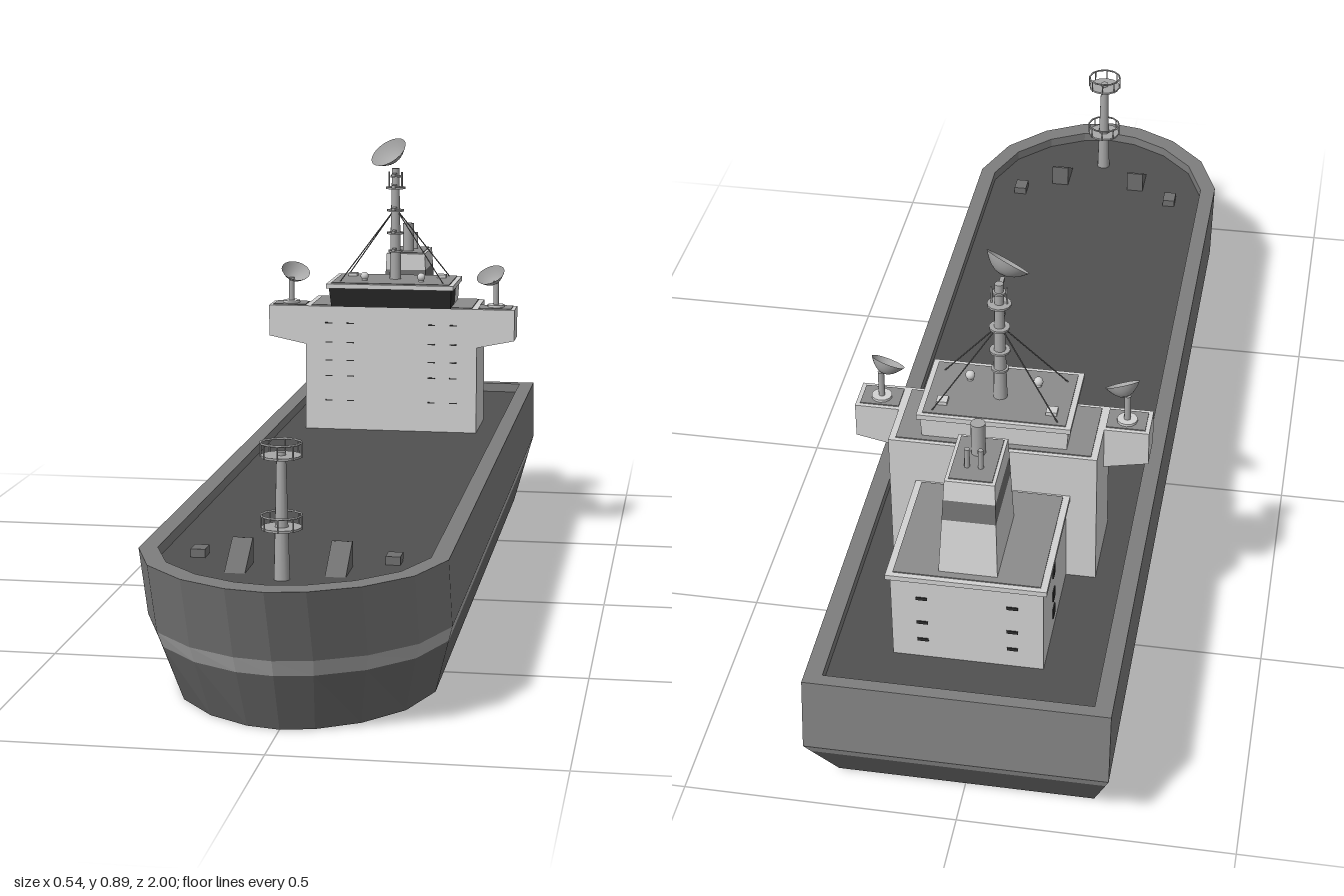
import * as THREE from 'three';

const mat = (name, color, side = THREE.FrontSide) => {
  const m = new THREE.MeshStandardMaterial({ color, side });
  m.name = name;
  return m;
};

export function createModel() {
  const ship = new THREE.Group();
  ship.name = 'cargoShip';
  const hullGrey = mat('hullGrey', 0x7e7e7e);
  const lowerGrey = mat('lowerHullGrey', 0x6c6c6c);
  const stripe = mat('stripeGrey', 0xb4b4b4);
  const deckGrey = mat('deckGrey', 0x505050);
  const white = mat('houseWhite', 0xd2d2d2);
  const roofGrey = mat('roofGrey', 0x8c8c8c);
  const dark = mat('windowDark', 0x2e2e2e);
  const metal = mat('metalGrey', 0xa8a8a8, THREE.DoubleSide);
  const bandGrey = mat('funnelBandGrey', 0x707070);

  const add = (name, geo, material, x = 0, y = 0, z = 0, parent = ship) => {
    const m = new THREE.Mesh(geo, material);
    m.name = name;
    m.position.set(x, y, z);
    parent.add(m);
    return m;
  };
  // box given by half width in x, then y and z ranges
  const block = (name, material, hw, y0, y1, z0, z1, x = 0) =>
    add(name, new THREE.BoxGeometry(hw * 2, y1 - y0, z1 - z0), material, x, (y0 + y1) / 2, (z0 + z1) / 2);
  const cyl = (name, material, r0, r1, y0, y1, x, z, sides = 12) =>
    add(name, new THREE.CylinderGeometry(r1, r0, y1 - y0, sides), material, x, (y0 + y1) / 2, z);
  // tapered block between two rectangles [halfWidth, zBack, zFront]
  const taper = (name, material, lo, hi, y0, y1) => {
    const g = new THREE.BoxGeometry(2, 2, 2).toNonIndexed();
    const p = g.attributes.position;
    for (let i = 0; i < p.count; i++) {
      const r = p.getY(i) > 0 ? hi : lo;
      p.setXYZ(i, p.getX(i) * r[0], p.getY(i) > 0 ? y1 : y0, p.getZ(i) > 0 ? r[2] : r[1]);
    }
    g.computeVertexNormals();
    return add(name, g, material);
  };
  const rod = (name, a, b, r, material = metal) => {
    const va = new THREE.Vector3(...a), d = new THREE.Vector3(...b).sub(va);
    const m = add(name, new THREE.CylinderGeometry(r, r, d.length(), 6), material);
    m.position.copy(va).addScaledVector(d, 0.5);
    m.quaternion.setFromUnitVectors(new THREE.Vector3(0, 1, 0), d.normalize());
    return m;
  };

  // Hull: outlines from keel to deck, joined by flat bands
  const bow = [[1, 0], [0.84, 0.45], [0.56, 0.77], [0.25, 0.95], [0, 1]];
  const outline = (y, w, stern, straight, tip) => {
    const side = bow.map(([fx, fz]) => [w * fx, y, straight + (tip - straight) * fz]);
    const half = [[w, y, stern], ...side];
    return [...half, ...half.slice(0, -1).reverse().map(([x, yy, z]) => [-x, yy, z])];
  };
  const flat = (name, tris, material) => {
    const g = new THREE.BufferGeometry();
    g.setAttribute('position', new THREE.Float32BufferAttribute(tris.flat(), 3));
    g.computeVertexNormals();
    add(name, g, material);
  };
  const band = (name, a, b, material) => {
    const tris = [];
    a.forEach((p, i) => {
      const j = (i + 1) % a.length;
      tris.push(p, b[i], b[j], p, b[j], a[j]);
    });
    flat(name, tris, material);
  };
  const cap = (name, o, up, material) => {
    const tris = [];
    for (let i = 1; i < o.length - 1; i++) tris.push(o[0], ...(up ? [o[i + 1], o[i]] : [o[i], o[i + 1]]));
    flat(name, tris, material);
  };
  const keel = outline(0, 0.235, -0.91, 0.62, 0.87);
  const low = outline(0.11, 0.264, -0.981, 0.67, 0.922);
  const mid = outline(0.14, 0.272, -1, 0.685, 0.936);
  const rim = outline(0.275, 0.272, -0.98, 0.745, 1);
  const rimIn = outline(0.275, 0.24, -0.957, 0.735, 0.955);
  const deck = outline(0.255, 0.24, -0.957, 0.735, 0.955);
  cap('hullBottom', keel, false, lowerGrey);
  band('lowerHull', keel, low, lowerGrey);
  band('hullStripe', low, mid, stripe);
  band('upperHull', mid, rim, hullGrey);
  band('bulwarkTop', rim, rimIn, hullGrey);
  band('bulwarkInside', rimIn, deck, hullGrey);
  cap('deck', deck, true, deckGrey);

  // Foredeck fittings
  for (const s of [-1, 1]) {
    taper('deckWedge', bandGrey, [0.018, 0.74, 0.815], [0.018, 0.74, 0.745], 0.255, 0.3).position.x = s * 0.087;
    block('deckHatch', bandGrey, 0.013, 0.255, 0.27, 0.685, 0.72, s * 0.172);
  }

  // Round railed platform
  const platform = (name, r, y, h, z) => {
    cyl(name + 'Floor', metal, r, r, y, y + 0.004, 0, z);
    add(name + 'Rail', new THREE.TorusGeometry(r, 0.002, 5, 12).rotateX(Math.PI / 2), metal, 0, y + h, z);
    for (let i = 0; i < 8; i++) {
      const a = (i / 8) * Math.PI * 2, x = Math.cos(a) * r, zz = z + Math.sin(a) * r;
      rod(name + 'Post', [x, y, zz], [x, y + h, zz], 0.0015);
    }
  };
  cyl('foreMast', metal, 0.014, 0.008, 0.255, 0.475, 0, 0.84);
  platform('lowerLookout', 0.035, 0.342, 0.024, 0.84);
  platform('upperLookout', 0.035, 0.465, 0.025, 0.84);

  // Front house and bridge wings
  block('frontHouse', white, 0.19, 0.255, 0.53, -0.605, -0.445);
  block('frontHouseRoof', roofGrey, 0.178, 0.53, 0.532, -0.597, -0.453);
  for (const s of [-1, 1]) {
    const shape = new THREE.Shape([[0.19, 0.445], [0.272, 0.462], [0.272, 0.53], [0.19, 0.53]]
      .map(([x, y]) => new THREE.Vector2(s * x, y)));
    add('bridgeWing', new THREE.ExtrudeGeometry(shape, { depth: 0.07, bevelEnabled: false }), white, 0, 0, -0.515);
    block('wingFloor', roofGrey, 0.036, 0.53, 0.532, -0.507, -0.453, s * 0.228);
    for (const y of [0.32, 0.375, 0.41, 0.45, 0.493])
      for (const x of [0.09, 0.138]) block('frontWindow', dark, 0.008, y - 0.0012, y + 0.0012, -0.446, -0.444, s * x);
  }

  // Bridge with leaning windows
  taper('bridgeWindows', dark, [0.132, -0.52, -0.442], [0.135, -0.52, -0.427], 0.53, 0.573);
  taper('bridgeBack', white, [0.132, -0.585, -0.52], [0.135, -0.585, -0.52], 0.53, 0.573);
  block('bridgeRoof', white, 0.14, 0.573, 0.583, -0.593, -0.421);
  block('bridgeRoofTop', roofGrey, 0.13, 0.583, 0.585, -0.585, -0.43);
  for (const s of [-1, 1]) {
    cyl('roofDomeBase', white, 0.006, 0.006, 0.583, 0.592, s * 0.063, -0.475);
    add('roofDome', new THREE.SphereGeometry(0.009, 12, 8), white, s * 0.063, 0.595, -0.475);
    block('roofBox', white, 0.01, 0.583, 0.592, -0.56, -0.54, s * 0.1);
  }

  // Aft house
  block('aftHouse', white, 0.135, 0.255, 0.432, -0.86, -0.6);
  block('aftHouseRoof', white, 0.142, 0.432, 0.442, -0.868, -0.6);
  block('aftRoofTop', roofGrey, 0.13, 0.442, 0.444, -0.858, -0.61);
  for (const s of [-1, 1])
    for (const y of [0.295, 0.335, 0.39]) {
      block('sideWindow', dark, 0.002, y - 0.011, y + 0.011, -0.76, -0.74, s * 0.135);
      block('sternWindow', dark, 0.01, y - 0.003, y + 0.003, -0.862, -0.858, s * 0.08);
    }

  // Funnel in three stacked pieces
  const funnelAt = (y) => {
    const t = (y - 0.442) / 0.178;
    return [0.052 - 0.008 * t, -0.845 + 0.032 * t, -0.677 - 0.005 * t];
  };
  const funnelPart = (name, m, y0, y1) => taper(name, m, funnelAt(y0), funnelAt(y1), y0, y1);
  funnelPart('funnelBase', white, 0.442, 0.545);
  funnelPart('funnelBand', bandGrey, 0.545, 0.583);
  funnelPart('funnelTop', white, 0.583, 0.62);
  block('funnelLid', roofGrey, 0.038, 0.62, 0.622, -0.806, -0.688);
  cyl('exhaustPipe', metal, 0.013, 0.013, 0.62, 0.685, 0, -0.728);
  for (const s of [-1, 1]) cyl('smallPipe', metal, 0.005, 0.005, 0.62, 0.66, s * 0.012, -0.77, 8);

  // Main mast with platforms, crossbars and stays
  cyl('mainMast', metal, 0.013, 0.008, 0.583, 0.83, 0, -0.515);
  for (const [y, w] of [[0.645, 0.016], [0.685, 0.019], [0.735, 0.019], [0.785, 0.022], [0.81, 0.012]]) {
    cyl('mastPlatform', metal, w, w, y, y + 0.004, 0, -0.515);
    block('mastArm', metal, 0.004, y + 0.004, y + 0.01, -0.515, -0.478);
  }
  for (const x of [-1, 1]) {
    for (const z of [-1, 1]) rod('mastStay', [0, 0.742, -0.515], [x * 0.115, 0.583, -0.515 + z * 0.062], 0.0013, bandGrey);
    rod('mastAntenna', [x * 0.014, 0.785, -0.515], [x * 0.014, 0.822, -0.515], 0.002);
  }

  // Bowl antennas, opening along the given direction
  const bowl = (name, r, depth, x, y, z, dir) => {
    const pts = [0, 0.3, 0.55, 0.75, 0.9, 1].map((t) => new THREE.Vector2(r * t, depth * (t * t - 0.5)));
    const m = add(name, new THREE.LatheGeometry(pts, 24), metal, x, y, z);
    m.quaternion.setFromUnitVectors(new THREE.Vector3(0, 1, 0), new THREE.Vector3(...dir).normalize());
  };
  bowl('mainDish', 0.043, 0.026, -0.008, 0.857, -0.505, [-0.42, 0.75, 0.5]);
  for (const s of [-1, 1]) {
    cyl('dishFoot', white, 0.019, 0.019, 0.53, 0.537, s * 0.228, -0.483);
    cyl('dishPost', metal, 0.006, 0.006, 0.537, 0.588, s * 0.228, -0.483);
    bowl('wingDish', 0.032, 0.024, s * 0.22, 0.594, -0.477, [-s * 0.28, 0.8, 0.45]);
  }
  return ship;
}
